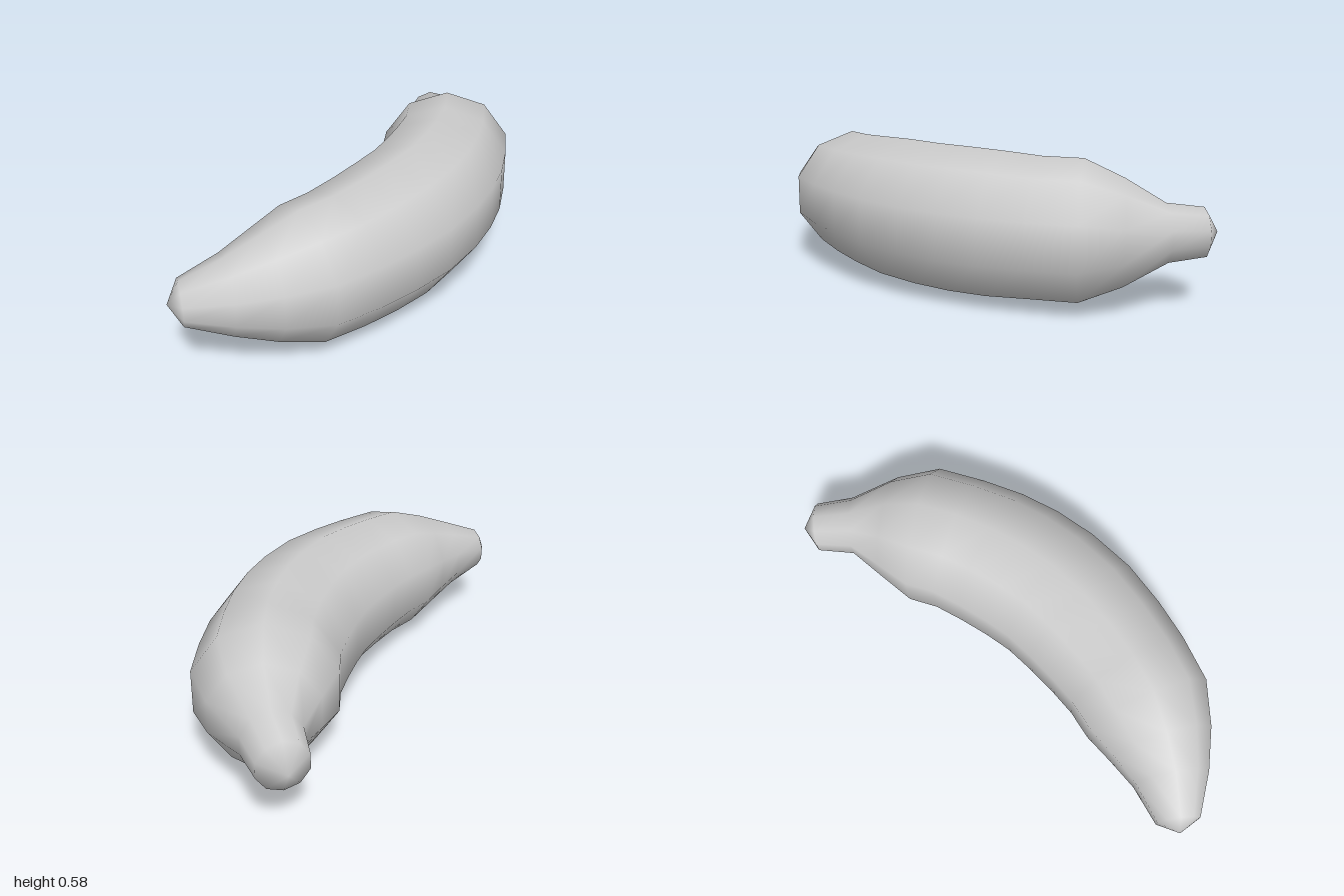
import * as THREE from 'three';

const SIDES = 10;
const CENTRE_Y = 0.291;

// Cross-sections from stem to tip: inner x, z and outer x, z of the bend
const SECTIONS = [
  [-0.33, -0.88, -0.19, -1.0],    // stem end
  [-0.25, -0.76, -0.08, -0.9],    // stem neck
  [-0.25, -0.61, 0.1, -0.8],
  [-0.25, -0.46, 0.23, -0.68],    // shoulder
  [-0.208, -0.35, 0.3, -0.5],
  [-0.188, -0.23, 0.35, -0.33],
  [-0.175, -0.11, 0.375, -0.17],
  [-0.17, 0, 0.381, 0],           // middle
  [-0.182, 0.12, 0.36, 0.2],
  [-0.2, 0.24, 0.31, 0.38],
  [-0.225, 0.36, 0.25, 0.54],
  [-0.265, 0.47, 0.165, 0.71],    // start of the taper
  [-0.29, 0.6, 0.03, 0.83],
  [-0.32, 0.73, -0.11, 0.92],
  [-0.385, 0.88, -0.27, 0.995],   // tip
];
const STEM_APEX = [-0.3, CENTRE_Y, -0.98];
const TIP_APEX = [-0.36, CENTRE_Y, 0.97];

// Skins the cross-sections with shared vertices so the surface shades smoothly
function bananaGeometry() {
  const positions = [];
  const index = [];
  for (const [xi, zi, xo, zo] of SECTIONS) {
    const inner = new THREE.Vector3(xi, CENTRE_Y, zi);
    const outer = new THREE.Vector3(xo, CENTRE_Y, zo);
    const middle = inner.clone().add(outer).multiplyScalar(0.5);
    const across = outer.clone().sub(inner).normalize();
    // A flat side faces the inside and outside of the bend
    const radius = inner.distanceTo(outer) / 2 / Math.cos(Math.PI / SIDES);
    for (let j = 0; j < SIDES; j++) {
      const a = ((j + 0.5) / SIDES) * Math.PI * 2;
      const p = middle.clone().addScaledVector(across, radius * Math.cos(a));
      positions.push(p.x, p.y + radius * Math.sin(a), p.z);
    }
  }
  const last = SECTIONS.length - 1;
  const stemApex = SECTIONS.length * SIDES;
  const tipApex = stemApex + 1;
  positions.push(...STEM_APEX, ...TIP_APEX);

  for (let j = 0; j < SIDES; j++) {
    const k = (j + 1) % SIDES;
    for (let i = 0; i < last; i++) {
      const a = i * SIDES + j, b = i * SIDES + k;
      index.push(a, b, a + SIDES, b, b + SIDES, a + SIDES);
    }
    index.push(stemApex, k, j);
    index.push(last * SIDES + j, last * SIDES + k, tipApex);
  }
  const geometry = new THREE.BufferGeometry();
  geometry.setAttribute('position', new THREE.Float32BufferAttribute(positions, 3));
  geometry.setIndex(index);
  geometry.computeVertexNormals();
  return geometry;
}

export function createModel() {
  const peel = new THREE.MeshStandardMaterial({ color: 0xcccccc });
  peel.name = 'light grey peel';

  const banana = new THREE.Mesh(bananaGeometry(), peel);
  banana.name = 'bananaPeel';

  const group = new THREE.Group();
  group.name = 'banana';
  group.add(banana);
  return group;
}
